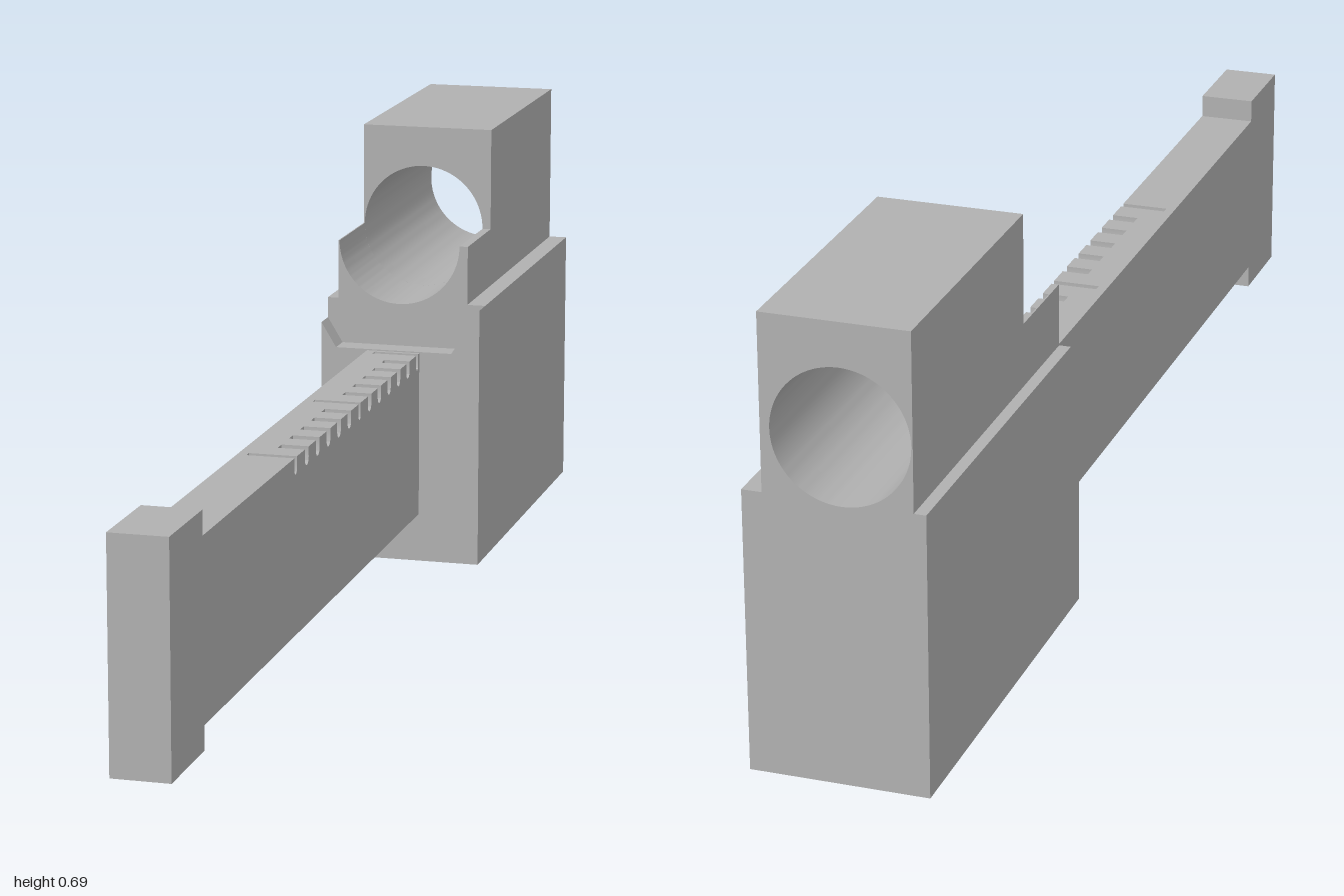
import * as THREE from 'three';
import { toCreasedNormals } from 'three/addons/utils/BufferGeometryUtils.js';

const grey = new THREE.MeshStandardMaterial({ color: 0xb0b0b0 });
grey.name = 'plain grey';

// Body measurements
const LEFT = -0.135, RIGHT = 0.133, SHOULDER = 0.43;
const BLOCK_L = -0.117, BLOCK_R = 0.103, BLOCK_TOP = 0.695;
const BORE_X = -0.013, BORE_Y = 0.527, BORE_R = 0.102;

function shapeFrom(points) {
  return new THREE.Shape(points.map(([x, y]) => new THREE.Vector2(x, y)));
}

function extrude(shape, depth) {
  const geometry = new THREE.ExtrudeGeometry(shape, { depth, bevelEnabled: false, curveSegments: 40 });
  return toCreasedNormals(geometry, 0.5);
}

// Extrudes an x/y outline between two z positions
function alongZ(name, shape, z0, z1) {
  const mesh = new THREE.Mesh(extrude(shape, z1 - z0).translate(0, 0, z0), grey);
  mesh.name = name;
  return mesh;
}

// Side outline of the bar (u = -z), with round-bottomed slots cut in its top
function barShape(slots) {
  const top = 0.353, bottom = 0.08, slotBottom = 0.327;
  const s = new THREE.Shape();
  s.moveTo(-1, 0.043);
  s.lineTo(-0.85, 0.043);
  s.lineTo(-0.85, bottom);
  s.lineTo(0.35, bottom);
  s.lineTo(0.35, top);
  for (const { u, half } of slots) {
    s.lineTo(u + half, top);
    s.lineTo(u + half, slotBottom + half);
    s.absarc(u, slotBottom + half, half, 0, -Math.PI, true);
    s.lineTo(u - half, top);
  }
  s.lineTo(-0.85, top);
  s.lineTo(-0.85, 0.39);
  s.lineTo(-1, 0.39);
  s.closePath();
  return s;
}

function barLayer(name, slots, x0, x1) {
  const geometry = extrude(barShape(slots), x1 - x0).rotateY(Math.PI / 2).translate(x0, 0, 0);
  const mesh = new THREE.Mesh(geometry, grey);
  mesh.name = name;
  return mesh;
}

export function createModel() {
  const model = new THREE.Group();
  model.name = 'slottedBarWithBoredBlock';

  // Rear body with the raised block and its through bore
  const rear = shapeFrom([
    [LEFT, 0], [RIGHT, 0], [RIGHT, SHOULDER], [BLOCK_R, SHOULDER], [BLOCK_R, BLOCK_TOP],
    [BLOCK_L, BLOCK_TOP], [BLOCK_L, SHOULDER], [LEFT, SHOULDER],
  ]);
  const bore = new THREE.Path();
  bore.absarc(BORE_X, BORE_Y, BORE_R, 0, Math.PI * 2, true);
  rear.holes.push(bore);
  model.add(alongZ('boredBlock', rear, -1, -0.545));

  // Open half-round cradle in front of the block
  const cradle = shapeFrom([
    [LEFT, 0], [RIGHT, 0], [RIGHT, SHOULDER], [BLOCK_R, SHOULDER], [BLOCK_R, BORE_Y],
    [BORE_X + BORE_R, BORE_Y],
  ]);
  cradle.absarc(BORE_X, BORE_Y, BORE_R, 0, -Math.PI, true);
  cradle.lineTo(BLOCK_L, BORE_Y);
  cradle.lineTo(BLOCK_L, SHOULDER);
  cradle.lineTo(LEFT, SHOULDER);
  model.add(alongZ('cradle', cradle, -0.545, -0.385));

  // Front wall with a sloped-sided trough in its top
  const wall = shapeFrom([
    [LEFT, 0], [RIGHT, 0], [RIGHT, SHOULDER], [0.086, 0.355], [-0.11, 0.355], [LEFT, 0.396],
  ]);
  model.add(alongZ('frontWall', wall, -0.385, -0.345));

  // Scale slots, ordered back to front; every sixth is long and narrow
  const slots = [];
  for (let i = 12; i >= 0; i--) {
    const long = i % 6 === 0;
    slots.push({ u: -0.389 + i * 0.06, half: long ? 0.0065 : 0.0105, long });
  }

  // Bar with end head, in layers so the slots stop at different widths
  const bar = new THREE.Group();
  bar.name = 'bar';
  bar.add(barLayer('plainSide', [], -0.057, -0.042));
  bar.add(barLayer('longSlotMiddle', slots.filter((s) => s.long), -0.042, -0.01));
  bar.add(barLayer('slottedSide', slots, -0.01, 0.032));
  model.add(bar);

  return model;
}
